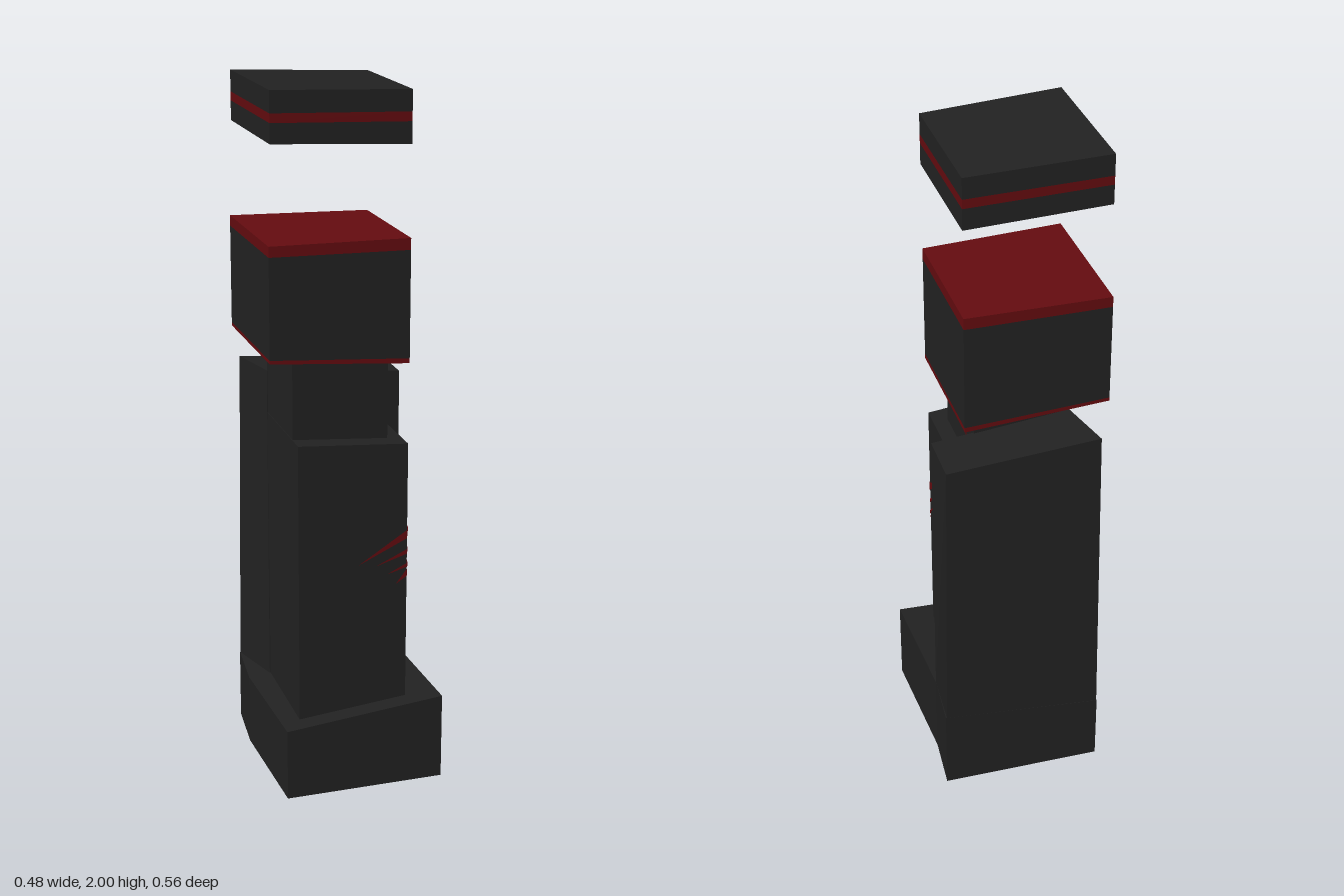
import * as THREE from 'three';

const dark = new THREE.MeshStandardMaterial({ color: 0x222222, flatShading: true });
const red = new THREE.MeshStandardMaterial({ color: 0x660c10, flatShading: true });
const twoSided = (m) => Object.assign(m.clone(), { side: THREE.DoubleSide });
const darkShell = twoSided(dark), redShell = twoSided(red);

// Skewed block. Plans list [x, z] for left-back, right-back, right-front, left-front (in front view);
// low and high give [y at left edge, y at right edge].
// faces picks box sides: 0 right, 1 left, 2 top, 3 bottom, 4 front, 5 back.
function block(name, material, plan, low, high, topPlan = plan, faces = [0, 1, 2, 3, 4, 5]) {
  const geo = new THREE.BoxGeometry(2, 2, 2);
  const p = geo.attributes.position;
  for (let i = 0; i < p.count; i++) {
    const right = p.getX(i) > 0, up = p.getY(i) > 0, front = p.getZ(i) > 0;
    const corner = front ? (right ? 2 : 3) : (right ? 1 : 0);
    const [x, z] = (up ? topPlan : plan)[corner];
    p.setXYZ(i, x, (up ? high : low)[right ? 1 : 0], z);
  }
  const index = Array.from(geo.index.array);
  geo.setIndex(faces.flatMap((f) => index.slice(f * 6, f * 6 + 6)));
  geo.computeVertexNormals();
  const mesh = new THREE.Mesh(geo, material);
  mesh.name = name;
  return mesh;
}

// Flat painted mark: outline in 2D, placed on a face by a mapping rule
function mark(name, points, place) {
  const geo = new THREE.ShapeGeometry(new THREE.Shape(points.map(([a, b]) => new THREE.Vector2(a, b))));
  const p = geo.attributes.position;
  for (let i = 0; i < p.count; i++) p.setXYZ(i, ...place(p.getX(i), p.getY(i)));
  geo.computeVertexNormals();
  const mesh = new THREE.Mesh(geo, redShell);
  mesh.name = name;
  return mesh;
}

export function createModel() {
  const model = new THREE.Group();
  model.name = 'crookedTower';

  // Plinth, pinched on one side and flared on the other
  const backPlan = [[-0.225, -0.28], [0.24, -0.262], [0.225, -0.102], [-0.242, -0.1]];
  const frontPlan = [[-0.242, -0.1], [0.225, -0.102], [0.24, 0.262], [-0.227, 0.277]];
  model.add(block('plinthBack', dark, backPlan, [0.005, 0], [0.215, 0.255]));
  model.add(block('plinthFront', dark, frontPlan, [0.005, 0], [0.215, 0.255]));

  // Tall back slab
  model.add(block('backSlab', dark,
    [[-0.224, -0.279], [0.237, -0.262], [0.225, -0.102], [-0.178, -0.1]], [0.2, 0.25], [1.165, 1.13],
    [[-0.213, -0.272], [0.225, -0.26], [0.223, -0.105], [-0.175, -0.105]]));

  // Column and neck
  model.add(block('column', dark,
    [[-0.175, -0.11], [0.145, -0.11], [0.145, 0.21], [-0.175, 0.22]], [0.19, 0.24], [1.04, 1.015]));
  model.add(block('neck', dark,
    [[-0.173, -0.108], [0.102, -0.11], [0.102, 0.155], [-0.173, 0.16]], [1, 1], [1.28, 1.25]));

  // Head with red rims
  const headPlan = [[-0.241, -0.245], [0.162, -0.228], [0.162, 0.165], [-0.241, 0.18]];
  model.add(block('headLowerRim', red, headPlan, [1.267, 1.233], [1.277, 1.247], headPlan, [0, 1, 4, 5]));
  model.add(block('headBody', dark, headPlan, [1.267, 1.233], [1.267, 1.233], headPlan, [3]));
  model.add(block('headWalls', dark, headPlan, [1.277, 1.247], [1.56, 1.552], headPlan, [0, 1, 4, 5]));
  model.add(block('headTop', red, headPlan, [1.56, 1.552], [1.59, 1.585], headPlan, [0, 1, 2, 4, 5]));

  // Floating lid: an open shell with a red stripe through its walls
  const lid = new THREE.Group();
  lid.name = 'lid';
  const lidPlan = [[-0.234, -0.242], [0.162, -0.227], [0.162, 0.164], [-0.234, 0.177]];
  const levels = [[1.86, 1.84], [1.915, 1.9], [1.94, 1.926], [2, 1.985]];
  ['lidSkirt', 'lidStripe', 'lidTop'].forEach((name, i) => lid.add(block(name, i === 1 ? redShell : darkShell,
    lidPlan, levels[i], levels[i + 1], lidPlan, i === 2 ? [0, 1, 2, 4, 5] : [0, 1, 4, 5])));
  model.add(lid);

  // Slashes wrapping the column's front corner
  const onFront = (x, y) => [x, y, 0.222 - (x + 0.175) * 0.0313];
  const onSide = (z, y) => [0.147, y, z];
  [[0, 0.67, 0.735, 0.76], [0.05, 0.66, 0.688, 0.702], [0.085, 0.632, 0.648, 0.66], [0.112, 0.6, 0.62, 0.642]]
    .forEach(([x, y, lo, hi]) => model.add(mark('frontSlash', [[x, y], [0.145, lo], [0.145, hi]], onFront)));
  [[0.1, 0.822, 0.738, 0.768], [0.135, 0.765, 0.69, 0.705], [0.165, 0.705, 0.648, 0.662]]
    .forEach(([z, y, lo, hi]) => model.add(mark('sideSlash', [[z, y], [0.21, hi], [0.21, lo]], onSide)));

  // Hooked mark on the neck's side
  model.add(mark('neckMark', [[0.05, 1.1], [0.074, 1.122], [0.01, 1.2], [-0.07, 1.048], [-0.03, 1.05],
    [-0.033, 1.064], [-0.05, 1.063], [0.01, 1.178], [0.057, 1.12], [0.044, 1.108]], (z, y) => [0.104, y, z]));
  return model;
}
